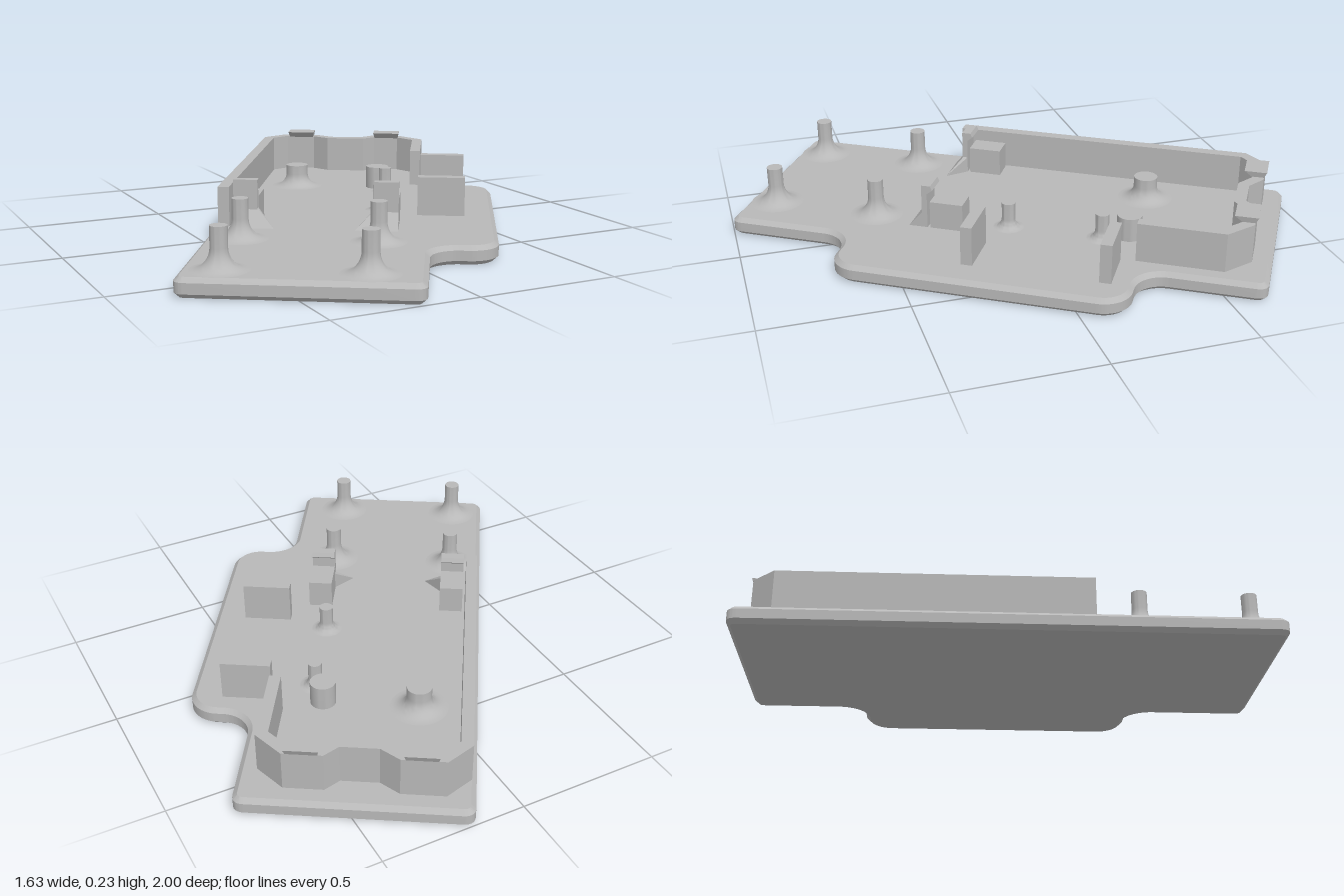
import * as THREE from 'three';
import { toCreasedNormals } from 'three/addons/utils/BufferGeometryUtils.js';
import { ConvexGeometry } from 'three/addons/geometries/ConvexGeometry.js';

const TOP = 0.065;        // upper face of the base plate
const WALL_TOP = 0.205;

export function createModel() {
  const model = new THREE.Group();
  model.name = 'enclosureLid';
  // everything is built square to the plate, then turned
  const body = new THREE.Group();
  body.name = 'lidBody';
  body.rotation.y = -THREE.MathUtils.degToRad(32);
  model.add(body);

  const grey = new THREE.MeshStandardMaterial({ color: 0xb8b8b8 });
  grey.name = 'plainGrey';

  const add = (name, geometry, parent = body) => {
    const mesh = new THREE.Mesh(geometry, grey);
    mesh.name = name;
    parent.add(mesh);
    return mesh;
  };
  const block = (name, x0, x1, y0, y1, z0, z1, parent) => {
    const g = new THREE.BoxGeometry(x1 - x0, y1 - y0, z1 - z0);
    g.translate((x0 + x1) / 2, (y0 + y1) / 2, (z0 + z1) / 2);
    return add(name, g, parent);
  };
  const hull = (name, points, parent) =>
    add(name, new ConvexGeometry(points.map((p) => new THREE.Vector3(...p))), parent);

  // base plate: rectangle with a side bulge blended by S-curves
  const s = new THREE.Shape();
  const P = Math.PI;
  s.moveTo(-0.34, -0.957);
  s.lineTo(0.335, -0.957);
  s.quadraticCurveTo(0.375, -0.957, 0.375, -0.917);
  s.absarc(0.475, -0.595, 0.1, P, P / 2, true);
  s.absarc(0.5, -0.395, 0.1, -P / 2, 0, false);
  s.absarc(0.5, 0.434, 0.1, 0, P / 2, false);
  s.absarc(0.475, 0.634, 0.1, -P / 2, -P, true);
  s.lineTo(0.375, 0.917);
  s.quadraticCurveTo(0.375, 0.957, 0.335, 0.957);
  s.lineTo(-0.34, 0.957);
  s.quadraticCurveTo(-0.38, 0.957, -0.38, 0.917);
  s.lineTo(-0.38, -0.917);
  s.quadraticCurveTo(-0.38, -0.957, -0.34, -0.957);
  const plate = new THREE.ExtrudeGeometry(s, {
    depth: TOP - 0.03, bevelEnabled: true, bevelThickness: 0.015,
    bevelSize: 0.016, bevelOffset: -0.016, bevelSegments: 1, curveSegments: 12,
  });
  plate.rotateX(-P / 2);
  plate.translate(0, 0.015, 0);
  add('basePlate', toCreasedNormals(plate, 0.5));

  // perimeter wall: a centre line thickened with mitred corners
  const path = [
    [-0.345, 0.293], [-0.345, -0.8], [-0.28, -0.87], [-0.15, -0.87], [-0.085, -0.825],
    [0.055, -0.825], [0.1, -0.87], [0.215, -0.87], [0.295, -0.8], [0.295, -0.51],
  ].map(([x, z]) => new THREE.Vector2(x, -z));
  const normalOf = (a, b) => {
    const d = b.clone().sub(a).normalize();
    return new THREE.Vector2(-d.y, d.x);
  };
  const offset = (dist) => path.map((p, i) => {
    const n0 = normalOf(path[Math.max(i - 1, 0)], path[Math.max(i, 1)]);
    const last = path.length - 1;
    const n1 = normalOf(path[Math.min(i, last - 1)], path[Math.min(i + 1, last)]);
    const m = n0.clone().add(n1).normalize();
    return p.clone().addScaledVector(m, dist / m.dot(n1));
  });
  const wall = new THREE.ExtrudeGeometry(
    new THREE.Shape([...offset(0.02), ...offset(-0.02).reverse()]),
    { depth: WALL_TOP - TOP + 0.005, bevelEnabled: false });
  wall.rotateX(-P / 2);
  wall.translate(0, TOP - 0.005, 0);
  add('perimeterWall', wall);

  // wedge catches on the end wall
  for (const x of [-0.21, 0.16]) {
    const pts = [];
    for (const dx of [-0.055, 0.055]) {
      pts.push([x + dx, 0.226, -0.9], [x + dx, 0.226, -0.82],
        [x + dx * 0.9, 0.2, -0.888], [x + dx * 0.9, 0.2, -0.852]);
    }
    hull('wallCatch', pts);
  }

  // two mirrored snap hooks, each with a stop block and a flared foot
  for (const side of [1, -1]) {
    const clip = new THREE.Group();
    clip.name = side > 0 ? 'leftSnapHook' : 'rightSnapHook';
    body.add(clip);
    const X = (d) => -0.027 + side * d;      // distance from the mirror line
    const a = Math.min(X(0.203), X(0.288));
    const b = Math.max(X(0.203), X(0.288));
    block('stopBlock', a, b, TOP - 0.005, 0.165, 0.115, 0.235, clip);
    block('hookPost', a, b, TOP - 0.005, 0.226, 0.245, 0.265, clip);
    const lip = [];
    for (const x of [a, b]) {
      lip.push([x, 0.226, 0.245], [x, 0.226, 0.232], [x, 0.21, 0.225], [x, 0.195, 0.245]);
    }
    hull('hookLip', lip, clip);
    hull('flaredFoot', [
      [X(0.203), 0.125, 0.245], [X(0.288), 0.125, 0.245],
      [X(0.203), 0.125, 0.262], [X(0.288), 0.125, 0.262],
      [X(0.138), TOP - 0.002, 0.315], [X(0.288), TOP - 0.002, 0.315],
      [X(0.203), TOP - 0.002, 0.245], [X(0.288), TOP - 0.002, 0.245],
    ], clip);
  }

  // upright ribs beside the bulge
  for (const z of [-0.44, 0.032]) {
    block('sideRib', 0.32, 0.49, TOP - 0.005, WALL_TOP, z - 0.02, z + 0.02);
  }

  // round posts blending into the plate: x, z, radius, top, flare radius, flare height
  const posts = [
    ['cornerPost', -0.258, 0.458, 0.028, 0.203, 0.095, 0.07],
    ['cornerPost', -0.255, 0.851, 0.028, 0.203, 0.095, 0.07],
    ['cornerPost', 0.203, 0.852, 0.028, 0.203, 0.095, 0.07],
    ['cornerPost', 0.204, 0.459, 0.028, 0.203, 0.095, 0.07],
    ['smallPost', 0.18, -0.031, 0.024, 0.16, 0.055, 0.035],
    ['smallPost', 0.181, -0.369, 0.024, 0.16, 0.055, 0.035],
    ['thickPost', -0.182, -0.461, 0.043, 0.15, 0.1, 0.05],
    ['plainPost', 0.144, -0.458, 0.044, 0.15, 0.044, 0],
  ];
  for (const [name, x, z, r, top, R, h] of posts) {
    const profile = [];
    if (h > 0) {
      for (let i = 0; i <= 8; i++) {
        const t = (i / 8) * P / 2;
        profile.push(new THREE.Vector2(R - (R - r) * Math.sin(t), TOP + h - h * Math.cos(t)));
      }
    } else {
      profile.push(new THREE.Vector2(r, TOP));
    }
    profile.push(new THREE.Vector2(r, top), new THREE.Vector2(0, top));
    const post = toCreasedNormals(new THREE.LatheGeometry(profile, 32), 0.6);
    add(name, post).position.set(x, 0, z);
  }

  return model;
}
